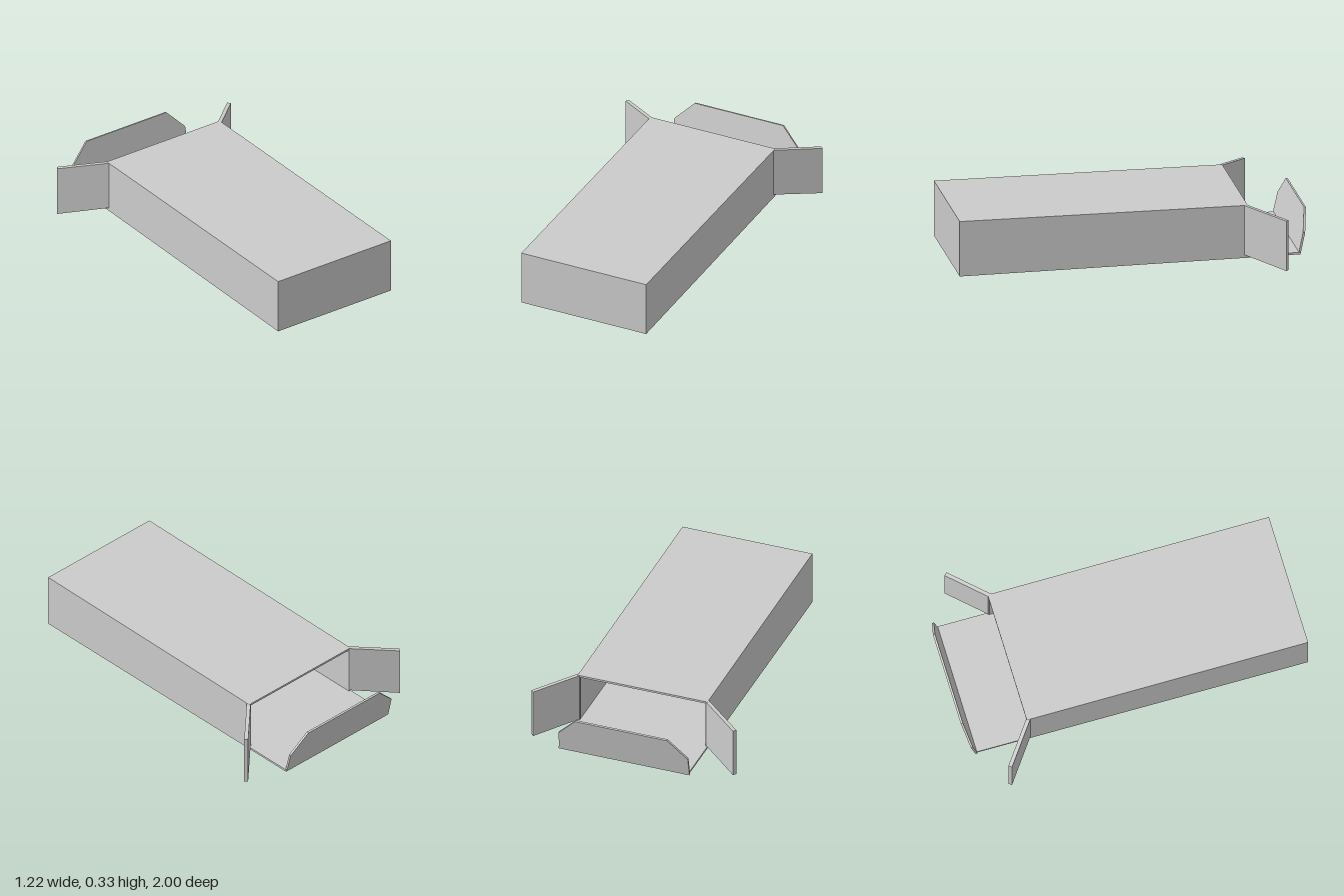
import * as THREE from 'three';

const LEFT = 0.4, RIGHT = -0.38;   // outer faces of the side walls
const T = 0.012;                   // card thickness
const MOUTH = -0.645, FLOOR_END = -0.947, TOP = 0.335;

const material = new THREE.MeshStandardMaterial({ color: 0xcccccc, flatShading: true });

// Flat sheet cut from an outline and given a thickness
function sheet(name, points, depth) {
  const shape = new THREE.Shape(points.map(([a, b]) => new THREE.Vector2(a, b)));
  const mesh = new THREE.Mesh(
    new THREE.ExtrudeGeometry(shape, { depth, bevelEnabled: false }), material);
  mesh.name = name;
  return mesh;
}

// Sheet drawn as a (z, y) side profile, spanning from x1 down to x0
function sideProfile(name, points, x0, x1) {
  const mesh = sheet(name, points, x1 - x0);
  mesh.rotation.y = -Math.PI / 2;
  mesh.position.x = x1;
  return mesh;
}

// Underside rises gently towards the mouth
const floorY = z => 0.012 + (1 - z) * 0.009;

// Skewed side flap from its hinge (hx, hz) to its tip (tx, tz)
function sideFlap(name, hx, hz, tx, tz, thickness) {
  const dx = tx - hx, dz = tz - hz, len = Math.hypot(dx, dz);
  const flap = sheet(name, [[0, 0.045], [len, 0.002], [len, 0.295], [0, TOP]], Math.abs(thickness));
  if (thickness < 0) flap.geometry.translate(0, 0, thickness);
  flap.position.set(hx, 0, hz);
  flap.rotation.y = Math.atan2(-dz, dx);
  return flap;
}

export function createModel() {
  const group = new THREE.Group();
  group.name = 'openCarton';

  // Carton body, hollow and open at the back
  group.add(sideProfile('topPanel',
    [[MOUTH, TOP - T], [1, TOP - T], [1, TOP], [MOUTH, TOP]], RIGHT, LEFT));
  group.add(sideProfile('bottomPanel',
    [[FLOOR_END, floorY(FLOOR_END)], [1, floorY(1)], [1, floorY(1) + T],
      [FLOOR_END, floorY(FLOOR_END) + T]], RIGHT, LEFT));
  group.add(sideProfile('endPanel',
    [[1 - T, floorY(1)], [1, floorY(1)], [1, TOP], [1 - T, TOP]], RIGHT, LEFT));

  // Side walls
  const wall = [[MOUTH, floorY(MOUTH)], [1, floorY(1)], [1, TOP], [MOUTH, TOP]];
  group.add(sideProfile('leftWall', wall, LEFT - T, LEFT));
  group.add(sideProfile('rightWall', wall, RIGHT, RIGHT + T));

  // Dust flaps folded outwards
  group.add(sideFlap('leftFlap', LEFT, -0.625, 0.608, -0.825, -0.022));
  group.add(sideFlap('rightFlap', RIGHT, -0.625, -0.612, -0.8, 0.022));

  // Closing tab with clipped corners, leaning back
  const tab = sheet('closingTab',
    [[-0.387, 0], [0.395, 0], [0.39, 0.125], [0.28, 0.242], [-0.272, 0.242], [-0.387, 0.125]], T);
  tab.position.set(0, floorY(FLOOR_END), FLOOR_END);
  tab.rotation.x = -0.22;
  group.add(tab);

  return group;
}
